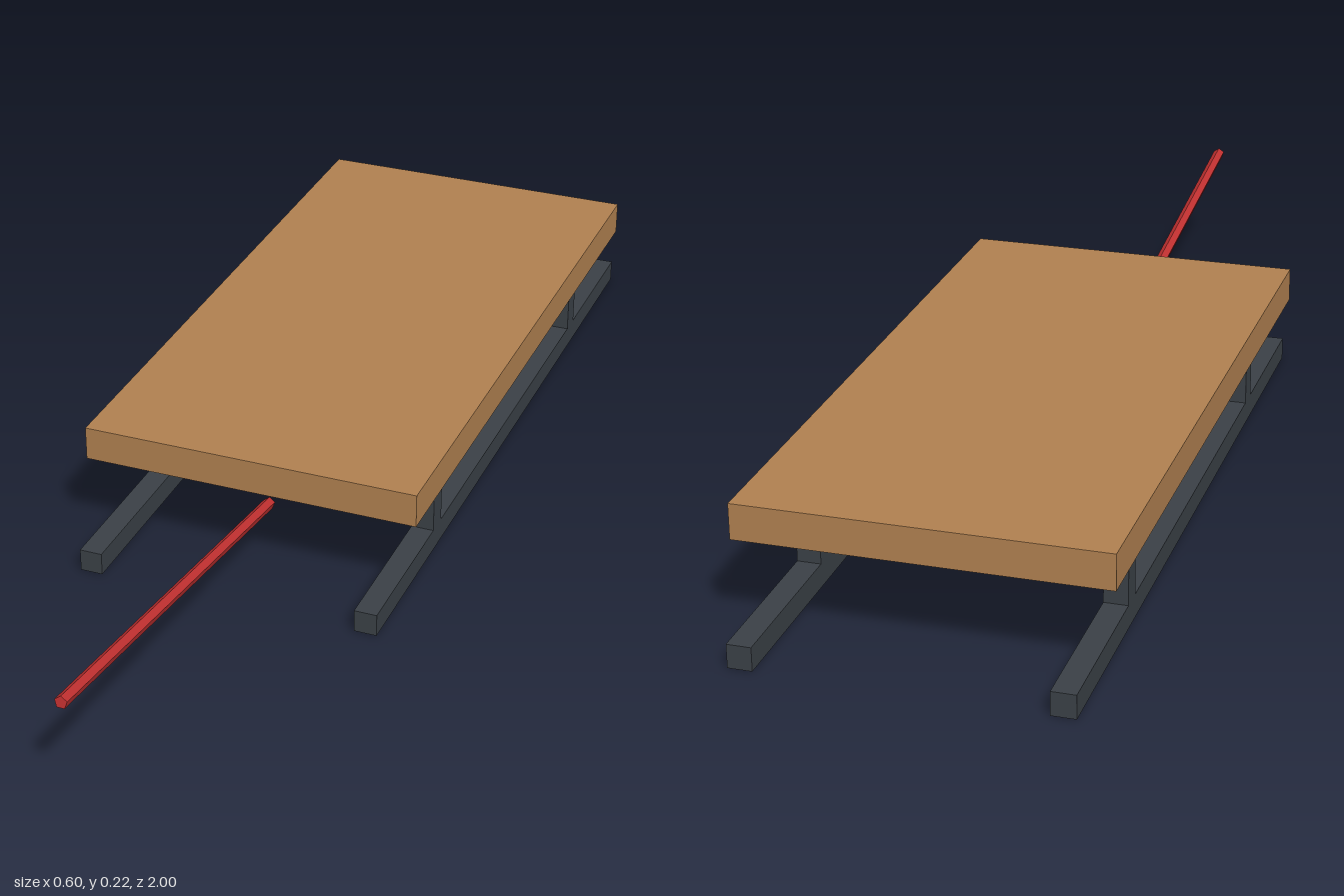
import * as THREE from 'three';

export function createModel() {
  const mat = (name, color) => {
    const m = new THREE.MeshStandardMaterial({ color });
    m.name = name;
    return m;
  };
  const wood = mat('wood', 0xb08050);
  const metal = mat('darkMetal', 0x3a4046);
  const red = mat('redRope', 0xc03030);

  const model = new THREE.Group();
  model.name = 'sled';

  const box = (name, material, size, pos) => {
    const mesh = new THREE.Mesh(new THREE.BoxGeometry(...size), material);
    mesh.name = name;
    mesh.position.set(...pos);
    model.add(mesh);
  };

  // Seat board
  box('deck', wood, [0.6, 0.06, 1.2], [0, 0.19, -0.3]);

  // Runners, each with two posts under the deck
  for (const [side, x] of [['left', 0.25], ['right', -0.25]]) {
    box(side + 'Runner', metal, [0.04, 0.04, 1.4], [x, 0.02, -0.3]);
    box(side + 'FrontPost', metal, [0.04, 0.12, 0.04], [x, 0.1, 0.1]);
    box(side + 'BackPost', metal, [0.04, 0.12, 0.04], [x, 0.1, -0.7]);
  }

  // Five-sided pull rope, rising towards the front
  const front = new THREE.Vector3(0, 0.199, 0.998);
  const back = new THREE.Vector3(0, 0.085, 0.207);
  const rise = Math.atan2(front.y - back.y, front.z - back.z);
  const ropeGeometry = new THREE.CylinderGeometry(0.011, 0.011, front.distanceTo(back), 5).toNonIndexed();
  ropeGeometry.computeVertexNormals();
  const rope = new THREE.Mesh(ropeGeometry, red);
  rope.name = 'pullRope';
  rope.rotation.x = -Math.PI / 2 - rise;
  rope.position.addVectors(front, back).multiplyScalar(0.5);
  model.add(rope);

  return model;
}
